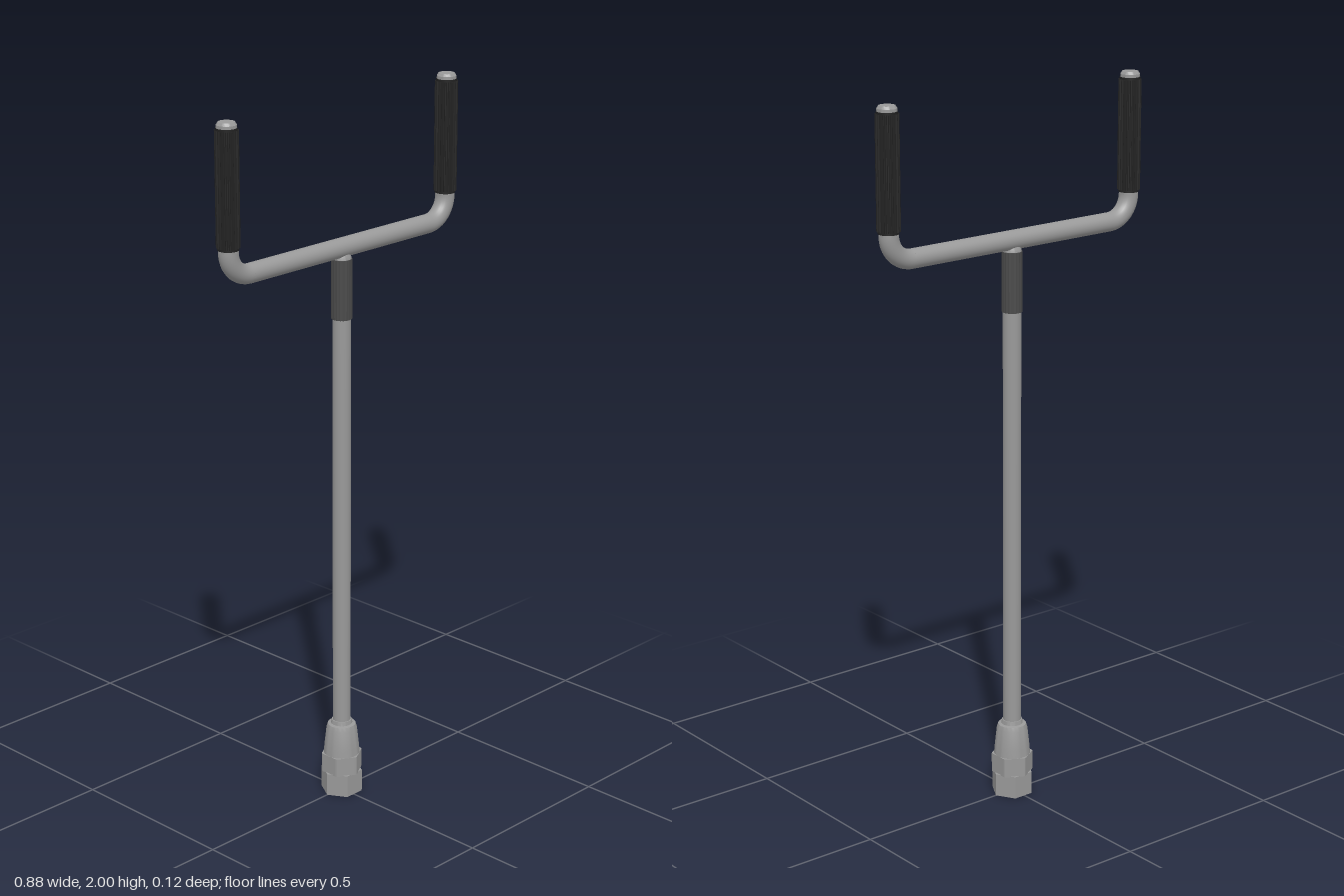
import * as THREE from 'three';
import { toCreasedNormals } from 'three/addons/utils/BufferGeometryUtils.js';

const mat = (name, color) => Object.assign(new THREE.MeshStandardMaterial({ color }), { name });

export function createModel() {
  const model = new THREE.Group();
  const steel = mat('steel', 0x999999);
  const darkSteel = mat('dark steel', 0x4a4a4a);
  const rubber = mat('black rubber', 0x222222);

  const add = (name, geo, material, x = 0, y = 0, parent = model) => {
    const mesh = new THREE.Mesh(geo, material);
    mesh.name = name;
    mesh.position.set(x, y, 0);
    parent.add(mesh);
    return mesh;
  };
  // Upright prism from a flat shape, base at y = 0
  const prism = (shape, height) =>
    new THREE.ExtrudeGeometry(shape, { depth: height, bevelEnabled: false }).rotateX(-Math.PI / 2);
  // Closed outline whose radius follows a rule of the angle
  const outline = (n, radius) => Array.from({ length: n }, (_, i) => {
    const a = (i / n) * Math.PI * 2, r = radius(a, i);
    return new THREE.Vector2(Math.cos(a) * r, Math.sin(a) * r);
  });
  // Hexagon with rounded-off corners; the first corner sits at angle turn
  const hex = (apothem, corner, turn = 0) => outline(72, (a) => {
    const step = Math.PI / 3;
    const d = (((a - turn) % step) + step) % step - step / 2;
    return Math.min(corner, apothem / Math.cos(d));
  });
  const lathe = (pts, seg = 40) => toCreasedNormals(
    new THREE.LatheGeometry(pts.map(([r, y]) => new THREE.Vector2(r, y)), seg), 0.5);

  const sx = 0.003; // shaft axis

  // Socket at the foot: open hexagonal mouth, hexagonal collar, tapered neck
  const socket = new THREE.Group();
  socket.name = 'socket';
  socket.position.x = sx;
  model.add(socket);
  const mouth = new THREE.Shape(hex(0.051, 0.059));
  mouth.holes.push(new THREE.Path(hex(0.037, 0.043).reverse()));
  add('socketMouth', prism(mouth, 0.065), steel, 0, 0, socket);
  add('socketCollar', prism(new THREE.Shape(hex(0.051, 0.058, Math.PI / 6)), 0.055), steel, 0, 0.063, socket);
  add('socketNeck', lathe([[0, 0.115], [0.051, 0.115], [0.049, 0.14], [0.043, 0.195],
    [0.039, 0.207], [0.03, 0.209], [0.028, 0.22], [0, 0.22]]), steel, 0, 0, socket);

  // Shaft, dark sleeve and the weld under the crossbar
  add('shaft', new THREE.CylinderGeometry(0.025, 0.025, 1.36, 32), steel, sx, 0.88);
  add('sleeve', prism(new THREE.Shape(outline(40, (a, i) => (i % 2 ? 0.0275 : 0.0285))), 0.165), darkSteel, sx, 1.4);
  add('weld', lathe([[0.026, 1.56], [0.025, 1.572], [0.02, 1.582], [0, 1.586]]), steel, sx, 0);

  // Crossbar
  const R = 0.0265, barY = 1.595, handleX = 0.407, bend = 0.07;
  add('crossbar', new THREE.CylinderGeometry(R, R, 2 * (handleX - bend), 32).rotateZ(Math.PI / 2), steel, 0, barY);

  // Bends, uprights and grips on both sides
  for (const side of [1, -1]) {
    const handle = new THREE.Group();
    handle.name = side > 0 ? 'leftHandle' : 'rightHandle';
    if (side < 0) handle.rotation.y = Math.PI;
    model.add(handle);
    add('bend', new THREE.TorusGeometry(bend, R, 24, 16, Math.PI / 2).rotateZ(-Math.PI / 2),
      steel, handleX - bend, barY + bend, handle);
    add('upright', lathe([[R, barY + bend], [R, 1.993], [0.022, 2], [0, 2]]), steel, handleX, 0, handle);
    // Ribbed rubber grip: 20 ridges around
    const ribs = new THREE.Shape(outline(80, (a, i) => (i % 4 < 2 ? 0.0315 : 0.028)));
    add('grip', prism(ribs, 0.302), rubber, handleX, 1.677, handle);
    add('gripEnds', new THREE.CylinderGeometry(0.028, 0.028, 0.314, 32), rubber, handleX, 1.828, handle);
  }
  return model;
}
